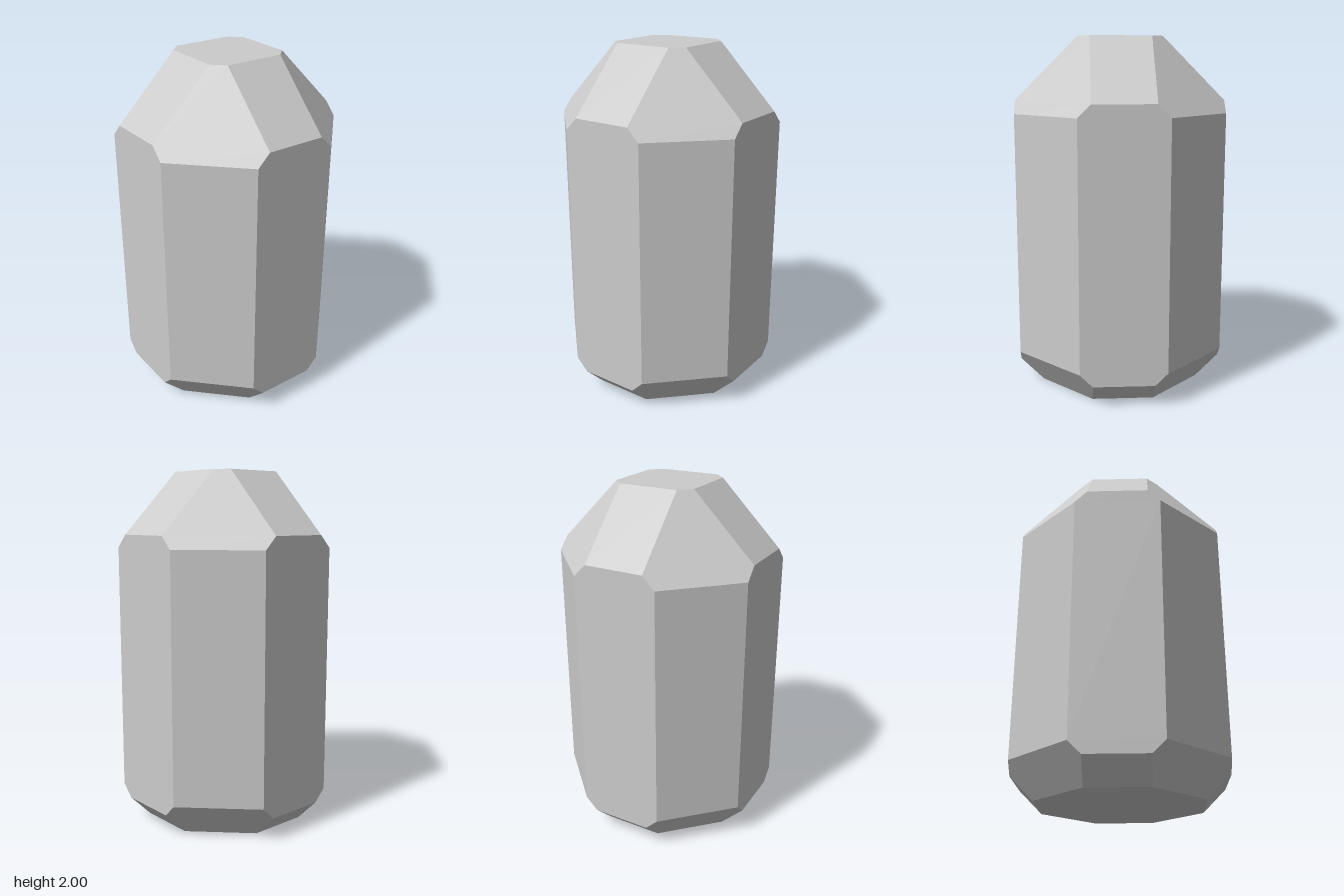
import * as THREE from 'three';

// Octagonal cross-sections from bottom to top:
// y, distance of the four main sides, half width of those sides
const SECTIONS = [
  [0.0, 0.455, 0.17],
  [0.13, 0.585, 0.17],
  [0.2, 0.585, 0.24],
  [1.58, 0.585, 0.24],
  [1.65, 0.585, 0.17],
  [2.0, 0.235, 0.17],
];

// Eight corners of a section, running from +x towards +z
function octagon([y, side, half]) {
  const points = [];
  for (let q = 0; q < 4; q++) {
    for (const h of [-half, half]) {
      let [x, z] = [side, h];
      for (let i = 0; i < q; i++) [x, z] = [-z, x];
      points.push(x, y, z);
    }
  }
  return points;
}

// Faceted loft through the sections, closed at both ends
function crystalGeometry() {
  const index = [];
  const top = (SECTIONS.length - 1) * 8;
  for (let s = 0; s < top; s += 8) {
    for (let k = 0; k < 8; k++) {
      const a = s + k;
      const b = s + ((k + 1) % 8);
      index.push(b, a, a + 8, b, a + 8, b + 8);
    }
  }
  for (let k = 1; k < 7; k++) {
    index.push(0, k, k + 1); // base
    index.push(top, top + k + 1, top + k); // crown
  }
  const indexed = new THREE.BufferGeometry();
  indexed.setAttribute('position', new THREE.Float32BufferAttribute(SECTIONS.flatMap(octagon), 3));
  indexed.setIndex(index);
  const geometry = indexed.toNonIndexed();
  geometry.computeVertexNormals();
  return geometry;
}

export function createModel() {
  const group = new THREE.Group();
  group.name = 'facetedCrystal';
  const material = new THREE.MeshStandardMaterial({ color: 0xcccccc, flatShading: true });
  const body = new THREE.Mesh(crystalGeometry(), material);
  body.name = 'crystalBody';
  group.add(body);
  return group;
}
